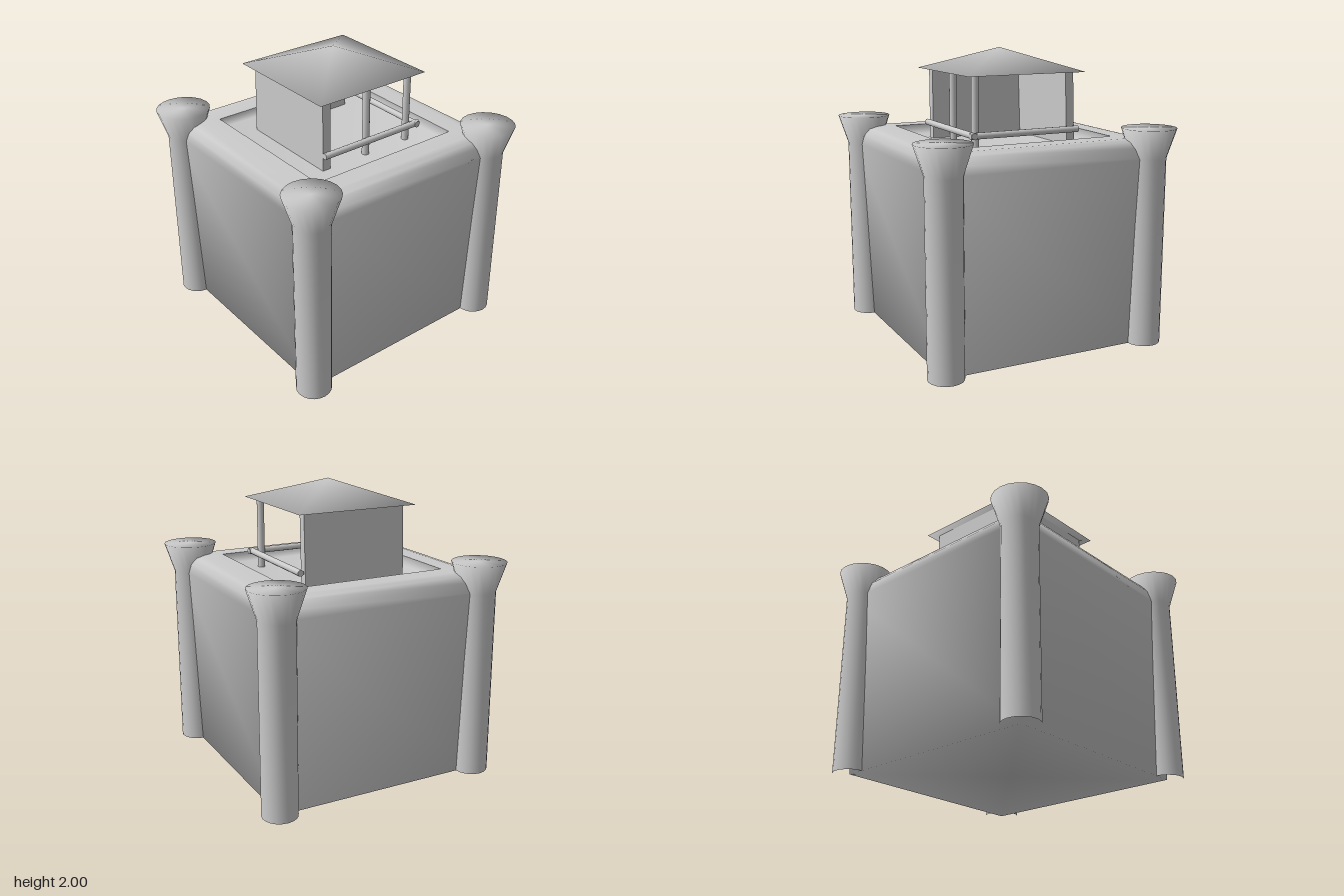
import * as THREE from 'three';
import { mergeVertices } from 'three/addons/utils/BufferGeometryUtils.js';

const material = new THREE.MeshStandardMaterial({ color: 0xcccccc });

// Shares the normals of touching faces
function smooth(geometry) {
  geometry.deleteAttribute('normal');
  geometry.deleteAttribute('uv');
  const merged = mergeVertices(geometry, 1e-4);
  merged.computeVertexNormals();
  return merged;
}

// Stacked square rings [half width, y], closed at both ends by a zero half width
function squareLoft(rings) {
  const points = rings.map(([h, y]) => new THREE.Vector2(h * Math.SQRT2, y));
  return smooth(new THREE.LatheGeometry(points, 4).rotateY(Math.PI / 4));
}

export function createModel() {
  const group = new THREE.Group();
  const add = (name, geometry, x = 0, y = 0, z = 0) => {
    const mesh = new THREE.Mesh(geometry, material);
    mesh.name = name;
    mesh.position.set(x, y, z);
    group.add(mesh);
    return mesh;
  };

  // Keep: walls leaning slightly outward, with a rounded rim
  add('keepWalls', squareLoft([[0, 0], [0.745, 0], [0.795, 1.29], [0.785, 1.36], [0.75, 1.405], [0.69, 1.42], [0.56, 1.42]]));
  // Sunken roof terrace inside the rim
  add('terrace', squareLoft([[0.56, 1.42], [0.56, 1.35], [0, 1.35]]));

  // Corner towers with flared heads, open at the foot
  const towerProfile = [[0.12, 0], [0.12, 1.29], [0.185, 1.49], [0, 1.49]].map(p => new THREE.Vector2(...p));
  const tower = smooth(new THREE.LatheGeometry(towerProfile, 20));
  for (const x of [-0.74, 0.74]) for (const z of [-0.74, 0.74]) add('cornerTower', tower, x, 0, z);

  // Lookout hut: solid front and side walls, flaring a little at the foot
  const plan = [[-0.37, -0.37], [-0.31, -0.37], [-0.31, 0.31], [0.37, 0.31], [0.37, 0.37], [-0.37, 0.37]];
  const outline = new THREE.Shape(plan.map(([x, z]) => new THREE.Vector2(x, -z)));
  const walls = new THREE.ExtrudeGeometry(outline, { depth: 0.5, bevelEnabled: false }).rotateX(-Math.PI / 2);
  const p = walls.attributes.position;
  for (let i = 0; i < p.count; i++) {
    if (p.getY(i) < 0.01 && p.getX(i) < 0) p.setX(i, p.getX(i) - 0.017);
  }
  walls.computeVertexNormals();
  add('hutWalls', walls, 0, 1.35, 0);

  // Posts carrying the roof on the open sides
  const post = new THREE.CylinderGeometry(0.025, 0.025, 0.5, 12);
  for (const [x, z] of [[0.35, -0.35], [0.35, 0]]) add('post', post, x, 1.6, z);

  // Rails along the two open sides
  const rail = new THREE.CylinderGeometry(0.022, 0.022, 0.8, 10);
  add('sideRail', rail, 0.387, 1.462, -0.03).rotation.x = Math.PI / 2;
  add('backRail', rail, 0.01, 1.462, -0.405).rotation.z = Math.PI / 2;

  // Pyramid roof with a flat underside
  add('hutRoof', squareLoft([[0, 1.845], [0.432, 1.845], [0, 2]]));

  return group;
}
